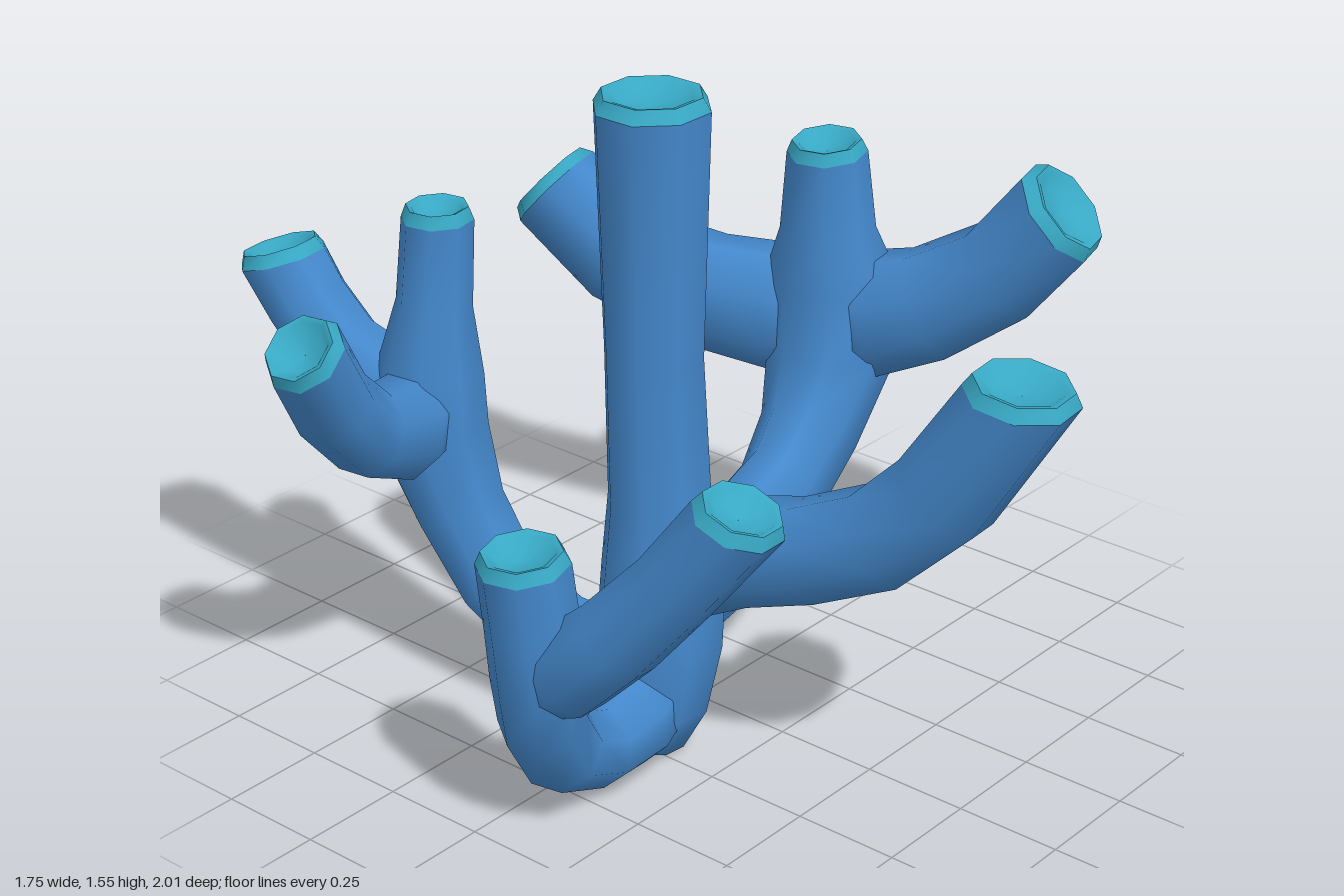
import * as THREE from 'three';

const SIDES = 8;
const blue = new THREE.MeshStandardMaterial({ color: 0x4488cc });
const teal = new THREE.MeshStandardMaterial({ color: 0x38a8c4 });

// Skin a list of vertex rings (equal length) into a smooth surface
function skin(rings, material, name) {
  const pos = rings.flat().flatMap((v) => [v.x, v.y, v.z]);
  const index = [];
  for (let i = 0; i < rings.length - 1; i++) {
    for (let j = 0; j < SIDES; j++) {
      const a = i * SIDES + j, b = i * SIDES + (j + 1) % SIDES;
      index.push(a, b, b + SIDES, a, b + SIDES, a + SIDES);
    }
  }
  const g = new THREE.BufferGeometry();
  g.setAttribute('position', new THREE.Float32BufferAttribute(pos, 3));
  g.setIndex(index);
  g.computeVertexNormals();
  const mesh = new THREE.Mesh(g, material);
  mesh.name = name;
  return mesh;
}

// Branch along points [x, y, z, radius, sideways scale]; tipDir is the way the open end faces
function branch(name, points, tipDir) {
  const centres = points.map((p) => new THREE.Vector3(p[0], p[1], p[2]));
  const last = centres.length - 1;
  const tangents = centres.map((c, i) => {
    if (i === last) return new THREE.Vector3(...tipDir).normalize();
    return centres[i + 1].clone().sub(centres[Math.max(i - 1, 0)]).normalize();
  });
  const start = Math.abs(tangents[0].x) > 0.8 ? new THREE.Vector3(0, 0, 1) : new THREE.Vector3(1, 0, 0);
  const u = start.projectOnPlane(tangents[0]).normalize();

  // ring of vertices round a centre, in the plane across t
  const ring = (c, t, r, squash = 1) => {
    const w = t.clone().cross(u);
    return Array.from({ length: SIDES }, (_, j) => {
      const a = ((j + 0.5) / SIDES) * Math.PI * 2;
      return c.clone().addScaledVector(u, Math.cos(a) * r * squash).addScaledVector(w, Math.sin(a) * r);
    });
  };

  const rings = [];
  centres.forEach((c, i) => {
    // carry the frame along the path without twisting
    if (i > 0) u.applyQuaternion(new THREE.Quaternion().setFromUnitVectors(tangents[i - 1], tangents[i]));
    if (i === 0) rings.push(ring(c, tangents[0], 0.001));
    const at = i === last ? c.clone().addScaledVector(tangents[i], -0.03) : c;
    rings.push(ring(at, tangents[i], points[i][3], points[i][4]));
  });

  // chamfered rim and shallow dish at the tip
  const r = points[last][3];
  const tip = [[-0.03, 1], [0, 0.86], [-0.005, 0.72], [-0.025, 0.5], [-0.03, 0.005]].map(([d, k]) =>
    ring(centres[last].clone().addScaledVector(tangents[last], d), tangents[last], r * k));

  const group = new THREE.Group();
  group.name = name;
  group.add(skin(rings, blue, name + 'Tube'));
  group.add(skin(tip.slice(0, 2), teal, name + 'Rim'), skin(tip.slice(1), teal, name + 'Opening'));
  return group;
}

export function createModel() {
  const model = new THREE.Group();
  model.name = 'branchingCoral';

  // upright trunk
  model.add(branch('trunk', [
    [-0.23, 0, 0.05, 0.08], [-0.22, 0.1, 0.05, 0.128], [-0.195, 0.26, 0.05, 0.148],
    [-0.18, 0.42, 0.05, 0.145], [-0.185, 0.6, 0.045, 0.12], [-0.195, 0.95, 0.04, 0.113],
    [-0.195, 1.54, 0.04, 0.13]], [0, 1, 0]));

  // front arm, starting inside the trunk
  model.add(branch('frontArm', [
    [-0.185, 0.43, 0.05, 0.1], [-0.175, 0.49, 0.16, 0.135], [-0.16, 0.53, 0.27, 0.122],
    [-0.14, 0.58, 0.43, 0.117], [-0.11, 0.66, 0.6, 0.118], [-0.085, 0.8, 0.74, 0.12],
    [-0.055, 1.085, 0.9, 0.124]], [0, 1, 0.13]));

  // low arm on the right side, with its fork
  model.add(branch('lowArm', [
    [-0.22, 0.13, 0.05, 0.1], [-0.33, 0.115, 0.065, 0.118], [-0.46, 0.11, 0.08, 0.1, 1.1],
    [-0.58, 0.165, 0.1, 0.1], [-0.655, 0.28, 0.12, 0.098], [-0.68, 0.4, 0.14, 0.108],
    [-0.7, 0.53, 0.14, 0.103], [-0.715, 0.71, 0.13, 0.102]], [-0.1, 1, 0]));
  model.add(branch('lowArmFork', [
    [-0.675, 0.36, 0.13, 0.065], [-0.67, 0.44, 0.21, 0.108], [-0.655, 0.56, 0.34, 0.1],
    [-0.63, 0.71, 0.47, 0.093], [-0.6, 0.925, 0.62, 0.1]], [0.05, 1, 0.36]));

  // back arm, forking in three
  model.add(branch('backArm', [
    [-0.215, 0.13, 0.05, 0.09], [-0.225, 0.145, -0.06, 0.125], [-0.24, 0.18, -0.22, 0.108],
    [-0.27, 0.29, -0.37, 0.105], [-0.3, 0.46, -0.46, 0.11], [-0.33, 0.65, -0.51, 0.133],
    [-0.33, 0.8, -0.505, 0.122], [-0.32, 0.96, -0.495, 0.087], [-0.31, 1.19, -0.485, 0.082]], [0, 1, 0]));
  model.add(branch('backArmRearFork', [
    [-0.33, 0.65, -0.5, 0.075], [-0.345, 0.71, -0.61, 0.12, 0.95], [-0.375, 0.79, -0.74, 0.102],
    [-0.39, 0.89, -0.83, 0.1], [-0.4, 1.015, -0.905, 0.104]], [-0.05, 1, -0.3]));
  model.add(branch('backArmSideFork', [
    [-0.33, 0.68, -0.505, 0.08], [-0.43, 0.7, -0.49, 0.128, 0.85], [-0.58, 0.745, -0.46, 0.1],
    [-0.7, 0.865, -0.43, 0.095], [-0.805, 1.04, -0.41, 0.094]], [-0.7, 0.85, 0.05]));

  // long arm on the left side, deeper than wide, forking in three
  model.add(branch('longArm', [
    [-0.19, 0.34, 0.05, 0.12, 0.8], [-0.04, 0.34, 0.03, 0.142, 0.85], [0.06, 0.34, 0.01, 0.138, 0.75],
    [0.2, 0.34, -0.02, 0.138, 0.75], [0.36, 0.375, -0.05, 0.135, 0.75], [0.49, 0.475, -0.07, 0.137, 0.85],
    [0.59, 0.62, -0.09, 0.15], [0.61, 0.82, -0.1, 0.145, 1.15], [0.59, 0.96, -0.1, 0.113],
    [0.58, 1.18, -0.1, 0.095]], [-0.1, 1, 0]));
  model.add(branch('longArmFrontFork', [
    [0.605, 0.74, -0.1, 0.1], [0.635, 0.75, 0, 0.155, 0.8], [0.685, 0.795, 0.13, 0.14, 0.85],
    [0.735, 0.91, 0.3, 0.127, 0.95], [0.77, 1.095, 0.45, 0.128]], [0.2, 0.68, 0.74]));
  model.add(branch('longArmRearFork', [
    [0.605, 0.73, -0.1, 0.1], [0.575, 0.725, -0.22, 0.16, 0.8], [0.52, 0.735, -0.4, 0.148, 0.8],
    [0.445, 0.8, -0.62, 0.132, 0.88], [0.39, 0.965, -0.805, 0.124]], [-0.2, 0.68, -0.74]));

  return model;
}
